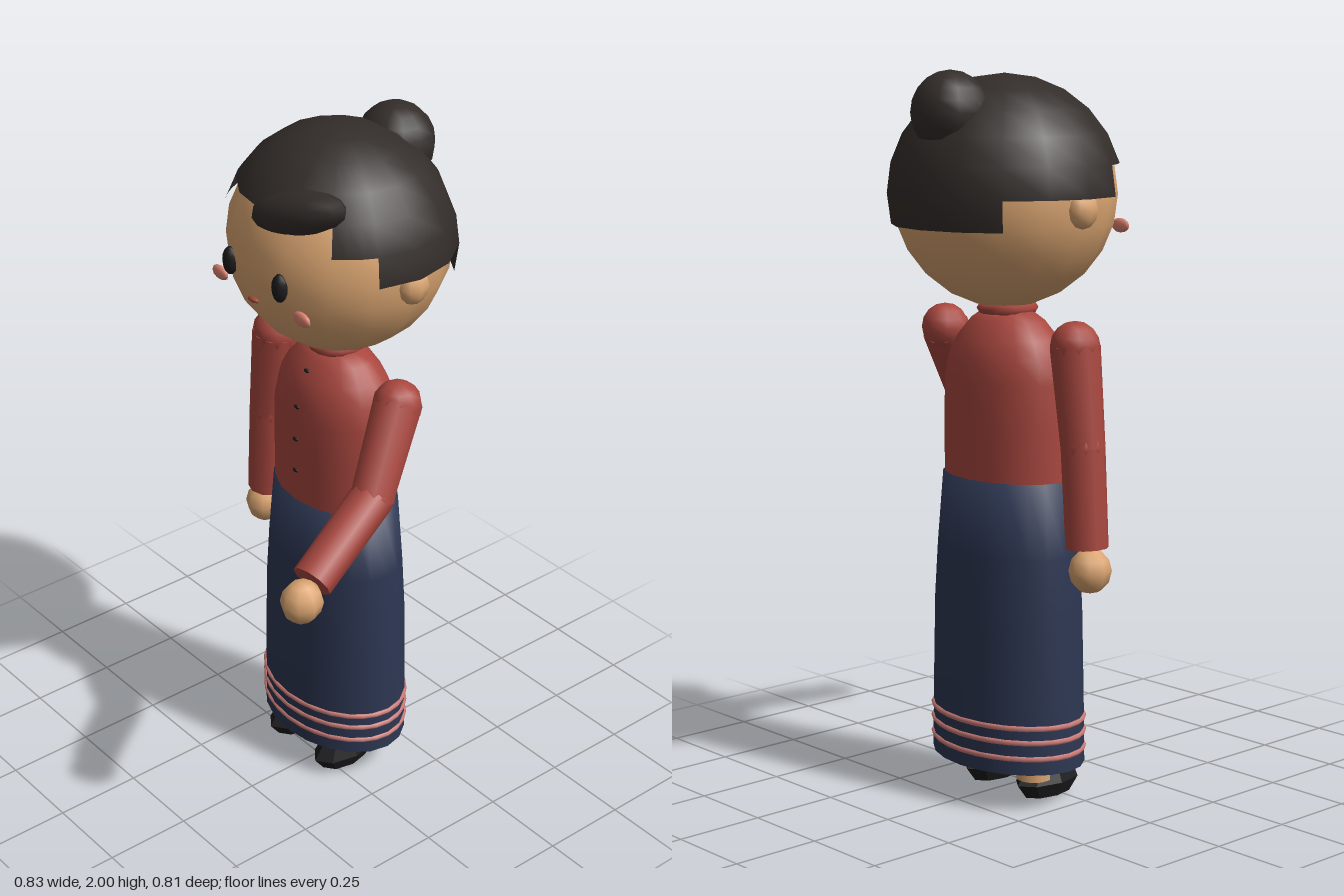
import * as THREE from 'three';

const CX = -0.033, CZ = -0.09; // body axis
const HEAD = new THREE.Vector3(-0.033, 1.67, -0.1);
const COLORS = {
  skin: 0xdca672, hair: 0x332d2a, shirt: 0xa9473f, skirt: 0x2d3753,
  stripe: 0xcb7c78, cheek: 0xe08573, mouth: 0x9c4a35, dark: 0x1c1b1d,
};

function material(key, options = {}) {
  return new THREE.MeshStandardMaterial({ color: COLORS[key], ...options });
}

export function createModel() {
  const model = new THREE.Group();
  model.name = 'doll';

  function add(name, geometry, key, position, options) {
    const mesh = new THREE.Mesh(geometry, material(key, options));
    mesh.name = name;
    mesh.position.set(...position);
    model.add(mesh);
    return mesh;
  }

  function ellipsoid(name, key, position, radii, w = 12, h = 8) {
    const mesh = add(name, new THREE.SphereGeometry(1, w, h), key, position);
    mesh.scale.set(...radii);
    return mesh;
  }

  // Elliptical body of revolution around the body axis
  function turned(name, key, profile, depth, segments) {
    const points = profile.map(([r, y]) => new THREE.Vector2(r, y));
    const geometry = new THREE.LatheGeometry(points, segments).scale(1, 1, depth);
    return add(name, geometry, key, [CX, 0, CZ], { side: THREE.DoubleSide });
  }

  // Head
  ellipsoid('head', 'skin', HEAD.toArray(), [0.305, 0.305, 0.303], 16, 12);

  // Hair cap in stepped patches: [start angle from front, span, drop from crown]
  const hair = new THREE.Group();
  hair.name = 'hairCap';
  hair.position.copy(HEAD);
  hair.scale.set(0.328, 0.32, 0.309);
  const step = Math.PI / 8;
  const patches = [[-2, 4, 60], [2, 1, 75], [-3, 1, 75], [3, 3, 90], [-6, 3, 90], [6, 4, 105]];
  for (const [start, span, drop] of patches) {
    const geometry = new THREE.SphereGeometry(1, span, drop / 15,
      Math.PI / 2 + start * step, span * step, 0, THREE.MathUtils.degToRad(drop));
    const patch = new THREE.Mesh(geometry, material('hair', { side: THREE.DoubleSide }));
    patch.name = 'hairPatch';
    hair.add(patch);
  }
  model.add(hair);
  ellipsoid('hairBun', 'hair', [CX, 1.89, -0.292], [0.11, 0.11, 0.105], 12, 10);
  const fringe = ellipsoid('fringe', 'hair', [0.075, 1.845, 0.125], [0.15, 0.058, 0.058]);
  fringe.rotation.set(0, 0.3, 0.28);

  // Face
  for (const side of [-1, 1]) {
    ellipsoid('ear', 'skin', [CX + side * 0.3, 1.64, -0.1], [0.035, 0.05, 0.046], 8, 6);
    ellipsoid('eye', 'dark', [CX + side * 0.104, 1.648, 0.185], [0.024, 0.04, 0.02], 10, 8);
    ellipsoid('cheek', 'cheek', [CX + side * 0.173, 1.58, 0.167], [0.034, 0.02, 0.011], 8, 6);
  }
  ellipsoid('mouth', 'mouth', [CX, 1.576, 0.19], [0.021, 0.008, 0.01], 8, 6);

  // Neck and collar
  add('neck', new THREE.CylinderGeometry(0.065, 0.07, 0.12, 12), 'skin', [CX, 1.37, CZ]);
  const collar = add('collar', new THREE.TorusGeometry(0.068, 0.016, 6, 14), 'shirt', [CX, 1.362, CZ]);
  collar.rotation.x = Math.PI / 2;

  // Shirt and buttons
  turned('shirt', 'shirt', [[0.206, 0.895], [0.206, 1.05], [0.204, 1.17], [0.19, 1.235],
    [0.162, 1.285], [0.12, 1.33], [0.08, 1.355], [0, 1.36]], 0.7, 16);
  for (const [y, z] of [[1.3, 0.013], [1.2, 0.048], [1.1, 0.053], [1, 0.054]]) {
    ellipsoid('button', 'dark', [CX, y, z], [0.011, 0.006, 0.005], 8, 6);
  }

  // Skirt with hem stripes
  turned('skirt', 'skirt', [[0.246, 0.11], [0.243, 0.3], [0.237, 0.55], [0.227, 0.7],
    [0.208, 0.905], [0, 0.907]], 0.72, 20);
  for (const y of [0.155, 0.2, 0.24]) {
    const stripe = add('hemStripe', new THREE.TorusGeometry(0.2435, 0.008, 6, 28), 'stripe', [CX, y, CZ]);
    stripe.rotation.x = Math.PI / 2;
    stripe.scale.y = 0.72;
  }

  // Legs and faceted shoes
  const shoeProfile = [[0, 0], [0.72, 0.008], [1, 0.048], [0.72, 0.093], [0, 0.096]]
    .map(([r, y]) => new THREE.Vector2(r, y));
  for (const side of [-1, 1]) {
    const x = CX + side * 0.106;
    add('leg', new THREE.CylinderGeometry(0.05, 0.05, 0.4, 10), 'skin', [x, 0.26, CZ]);
    const shoe = add('shoe', new THREE.LatheGeometry(shoeProfile, 8), 'dark', [x, 0, -0.04],
      { flatShading: true });
    shoe.scale.set(0.06, 1, 0.11);
  }

  // Tapered tube between two points
  function limb(name, a, b, ra, rb) {
    const from = new THREE.Vector3(...a), to = new THREE.Vector3(...b);
    const dir = to.clone().sub(from);
    const mid = from.add(to).multiplyScalar(0.5).toArray();
    const mesh = add(name, new THREE.CylinderGeometry(rb, ra, dir.length(), 10), 'shirt', mid);
    mesh.quaternion.setFromUnitVectors(new THREE.Vector3(0, 1, 0), dir.normalize());
    return mesh;
  }

  // Arms: one hanging, one reaching forward
  const arms = [
    { side: 'right', shoulder: [-0.297, 1.28, -0.09], elbow: [-0.328, 1.015, -0.09],
      wrist: [-0.345, 0.745, -0.09], hand: [-0.357, 0.685, -0.09] },
    { side: 'left', shoulder: [0.236, 1.283, -0.08], elbow: [0.3, 1.075, 0.06],
      wrist: [0.343, 0.933, 0.3], hand: [0.357, 0.897, 0.345] },
  ];
  for (const { side, shoulder, elbow, wrist, hand } of arms) {
    ellipsoid(`${side}Shoulder`, 'shirt', shoulder, [0.068, 0.068, 0.068], 10, 8);
    limb(`${side}UpperArm`, shoulder, elbow, 0.068, 0.06);
    ellipsoid(`${side}Elbow`, 'shirt', elbow, [0.06, 0.06, 0.06], 10, 8);
    limb(`${side}Forearm`, elbow, wrist, 0.06, 0.058);
    ellipsoid(`${side}Hand`, 'skin', hand, [0.056, 0.062, 0.06], 8, 6);
  }

  return model;
}
